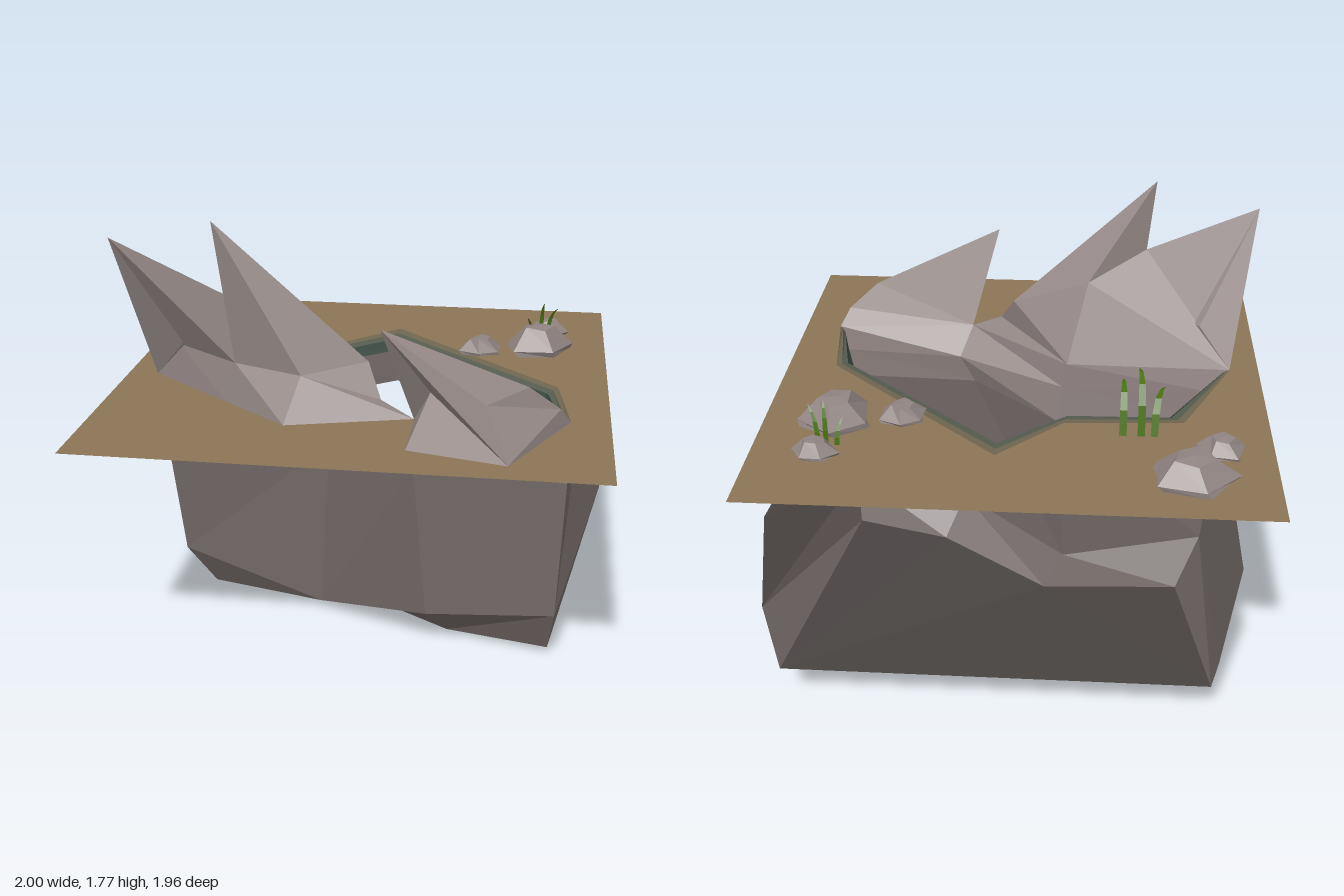
import * as THREE from 'three';

const ROCK = 0x8f8381, PIT = 0x6f6664, FLOOR = 0x4b4644, GROUND = 0x8a7456, GRASS = 0x477010;

const material = (color) => new THREE.MeshStandardMaterial({ color, flatShading: true, roughness: 1, side: THREE.DoubleSide });

// Flat-faced mesh from corner points and a list of polygons (fanned into triangles)
function facets(name, points, faces, color) {
  const out = [];
  for (const f of faces)
    for (let i = 1; i < f.length - 1; i++) out.push(...points[f[0]], ...points[f[i]], ...points[f[i + 1]]);
  const g = new THREE.BufferGeometry();
  g.setAttribute('position', new THREE.Float32BufferAttribute(out, 3));
  g.computeVertexNormals();
  const m = new THREE.Mesh(g, material(color));
  m.name = name;
  return m;
}

// Skin between rows of equal length
function skin(name, rows, color) {
  const n = rows[0].length, faces = [];
  for (let r = 0; r < rows.length - 1; r++)
    for (let c = 0; c < n - 1; c++) {
      const a = r * n + c;
      faces.push([a, a + 1, a + n + 1, a + n]);
    }
  return facets(name, rows.flat(), faces, color);
}

// Low boulder: a squat, irregular five or six sided lump
function boulder(name, x, z, rx, rz, h, sides, turn) {
  const pts = [], faces = [];
  const rings = [[0.96, 0], [1, 0.25], [0.48, 0.92]];
  rings.forEach(([r, y], k) => {
    for (let i = 0; i < sides; i++) {
      const a = turn + (i / sides) * Math.PI * 2 + k * 0.12;
      const wob = 1 + 0.12 * Math.sin(i * 2.3 + turn * 5 + k);
      pts.push([x + Math.cos(a) * rx * r * wob, 1.045 + h * y * (k === 2 ? 1 + 0.08 * Math.sin(i * 1.7) : 1), z + Math.sin(a) * rz * r * wob]);
    }
  });
  for (let k = 0; k < 2; k++)
    for (let i = 0; i < sides; i++) {
      const j = (i + 1) % sides;
      faces.push([k * sides + i, (k + 1) * sides + i, (k + 1) * sides + j, k * sides + j]);
    }
  const ring = [...Array(sides).keys()];
  const top = pts.push([x, 1.045 + h, z]) - 1;
  ring.forEach((i) => faces.push([2 * sides + i, top, 2 * sides + ((i + 1) % sides)]));
  faces.push(ring);
  return facets(name, pts, faces, ROCK);
}

// Curved blade of grass, tapering to its tip
function blade(base, mid, tip, width) {
  const curve = new THREE.QuadraticBezierCurve3(...[base, mid, tip].map((p) => new THREE.Vector3(...p)));
  const left = [], right = [];
  for (let i = 0; i <= 4; i++) {
    const p = curve.getPoint(i / 4), w = width * (0.6 + 0.8 * (i / 4)) * (1 - i / 4) + 0.001;
    left.push([p.x - w, p.y, p.z]);
    right.push([p.x + w, p.y, p.z]);
  }
  return skin('grassBlade', [left, right], GRASS);
}

export function createModel() {
  const model = new THREE.Group();

  // Pit shell, open at the back: columns run back left, front, back right
  const foot = [[-0.8, 0.2, -0.88], [-0.71, 0.01, -0.02], [-0.12, 0, -0.04], [0.36, 0.02, 0.28], [0.78, 0.03, 0.38], [0.88, 0.2, -0.88]];
  const low = [[-0.82, 0.33, -0.89], [-0.81, 0.22, 0.08], [-0.2, 0.04, 0.15], [0.28, 0.17, 0.42], [0.8, 0.23, 0.47], [1, 0.3, -0.63]];
  const high = [[-0.87, 0.79, -0.91], [-0.87, 0.8, 0.1], [-0.16, 0.77, 0.13], [0.22, 0.81, 0.4], [0.82, 0.8, 0.44], [0.91, 0.83, -0.75]];
  model.add(skin('pitWalls', [foot, low, high], PIT));
  model.add(facets('pitFloor', foot, [[0, 1, 2], [0, 2, 5], [2, 3, 5], [3, 4, 5]], FLOOR));

  // Pinched neck between pit and ground at the front
  const neck = [[-0.82, 0.95, 0.1], [-0.18, 0.94, 0.13], [0.28, 0.94, 0.38], [0.79, 0.94, 0.42]];
  const lip = [[-0.88, 1.05, 0.12], [-0.2, 1.05, 0.13], [0.23, 1.05, 0.48], [0.82, 1.05, 0.43]];
  model.add(skin('frontNeck', [high.slice(1, 5), neck, lip], ROCK));

  // Mossy rim in fading bands, with a rock skirt hanging below it
  const outer = [[-0.88, 1.05, 0.12], [-0.67, 1.05, -0.33], [-0.2, 1.05, -0.36], [0.05, 1.05, -0.61], [0.77, 1.05, 0.06], [0.82, 1.05, 0.43]];
  const inner = [[-0.84, 1, 0.12], [-0.6, 1, -0.24], [-0.22, 1, -0.24], [0.05, 1, -0.45], [0.71, 1, 0.13], [0.79, 0.95, 0.42]];
  const skirt = [[-0.87, 0.8, 0.1], [-0.7, 0.83, -0.28], [-0.25, 0.83, -0.3], [0.05, 0.83, -0.52], [0.75, 0.82, 0.12], [0.82, 0.8, 0.44]];
  const drop = [0, 0.1, 0.25, 1];
  const band = (t, k) => outer.map((p, i) => [
    p[0] + (inner[i][0] - p[0]) * t, p[1] + (inner[i][1] - p[1]) * drop[k], p[2] + (inner[i][2] - p[2]) * t]);
  [0x6f6650, 0x555c4f, 0x37453e].forEach((color, k) =>
    model.add(skin('rimBand', [band(k / 3, k), band((k + 1) / 3, k + 1)], color)));
  model.add(skin('rimSkirt', [inner, skirt], ROCK));

  // Ground sheet with the opening cut out
  const flat = (p) => new THREE.Vector2(p[0], -p[2]);
  const sheet = new THREE.Shape([[-1, 0, 0.98], [0.97, 0, 0.98], [0.97, 0, -0.98], [-1, 0, -0.98]].map(flat));
  sheet.holes.push(new THREE.Path([...outer, lip[2], lip[1]].map(flat)));
  const ground = new THREE.Mesh(new THREE.ShapeGeometry(sheet).rotateX(-Math.PI / 2), material(GROUND));
  ground.position.y = 1.05;
  ground.name = 'ground';
  model.add(ground);

  // Left crag with two leaning spikes
  const crag = [
    lip[0], lip[1], lip[2],                                                  // 0-2 back foot
    [-0.52, 1.05, 0.4], [-0.25, 1.05, 0.61],                                 // 3-4 front foot
    [-0.75, 1.21, 0.2], [-0.48, 1.21, 0.39], [-0.2, 1.21, 0.5],              // 5-7 shoulders
    [-0.97, 1.68, 0.35], [-0.52, 1.48, 0.37], [-0.55, 1.77, 0.4],            // 8-10 spike, notch, spike
    [-0.28, 1.37, 0.26], [0.04, 1.23, 0.36], [0.1, 1.11, 0.45],              // 11-13 ridge
  ];
  model.add(facets('leftCrag', crag, [
    [0, 8, 9], [0, 9, 11], [0, 11, 1], [9, 10, 11], [11, 10, 12], [1, 11, 12], [1, 12, 13], [1, 13, 2],
    [0, 5, 8], [5, 6, 8], [8, 6, 9], [6, 10, 9], [6, 7, 10], [7, 12, 10],
    [0, 3, 5], [3, 6, 5], [3, 4, 6], [4, 7, 6], [4, 2, 7], [7, 2, 13], [7, 13, 12],
  ], ROCK));

  // Right crag with one spike
  const spur = [
    lip[2], lip[3], [0.6, 1.05, 0.87], [0.23, 1.05, 0.78],                   // 0-3 foot
    [0.12, 1.45, 0.63], [0.3, 1.2, 0.58], [0.66, 1.22, 0.53], [0.78, 1.12, 0.48], [0.51, 1.19, 0.66],
  ];
  model.add(facets('rightCrag', spur, [
    [0, 5, 4], [0, 4, 6], [0, 6, 7], [0, 7, 1], [4, 5, 2], [4, 2, 8], [4, 8, 6],
    [8, 2, 7], [8, 7, 6], [2, 1, 7], [0, 3, 5], [3, 2, 5],
  ], ROCK));

  // Loose boulders on the ground
  [
    [-0.68, -0.73, 0.16, 0.15, 0.11, 5, 0.5], [-0.8, -0.53, 0.09, 0.09, 0.07, 5, 0.2],
    [0.43, -0.35, 0.09, 0.09, 0.07, 6, 0.4], [0.68, -0.4, 0.14, 0.14, 0.12, 5, 0.9],
    [0.72, -0.64, 0.085, 0.07, 0.07, 6, 0],
  ].forEach((b, i) => model.add(boulder('boulder' + (i + 1), ...b)));

  // Grass tufts
  const tuft = new THREE.Group();
  tuft.name = 'grassTufts';
  [[-0.55, -0.6, 1.17], [-0.5, -0.49, 1.25], [-0.43, -0.43, 1.2]].forEach(([x, tx, y]) =>
    tuft.add(blade([x, 1.05, -0.44], [x, y + 0.09, -0.41], [tx, y - 0.02, -0.22], 0.022)));
  [[0.65, 0.63, 1.15], [0.69, 0.7, 1.22], [0.72, 0.76, 1.2]].forEach(([x, tx, y]) =>
    tuft.add(blade([x, 1.05, -0.575], [x, y - 0.04, -0.575], [tx, y, -0.53], 0.014)));
  model.add(tuft);

  return model;
}
